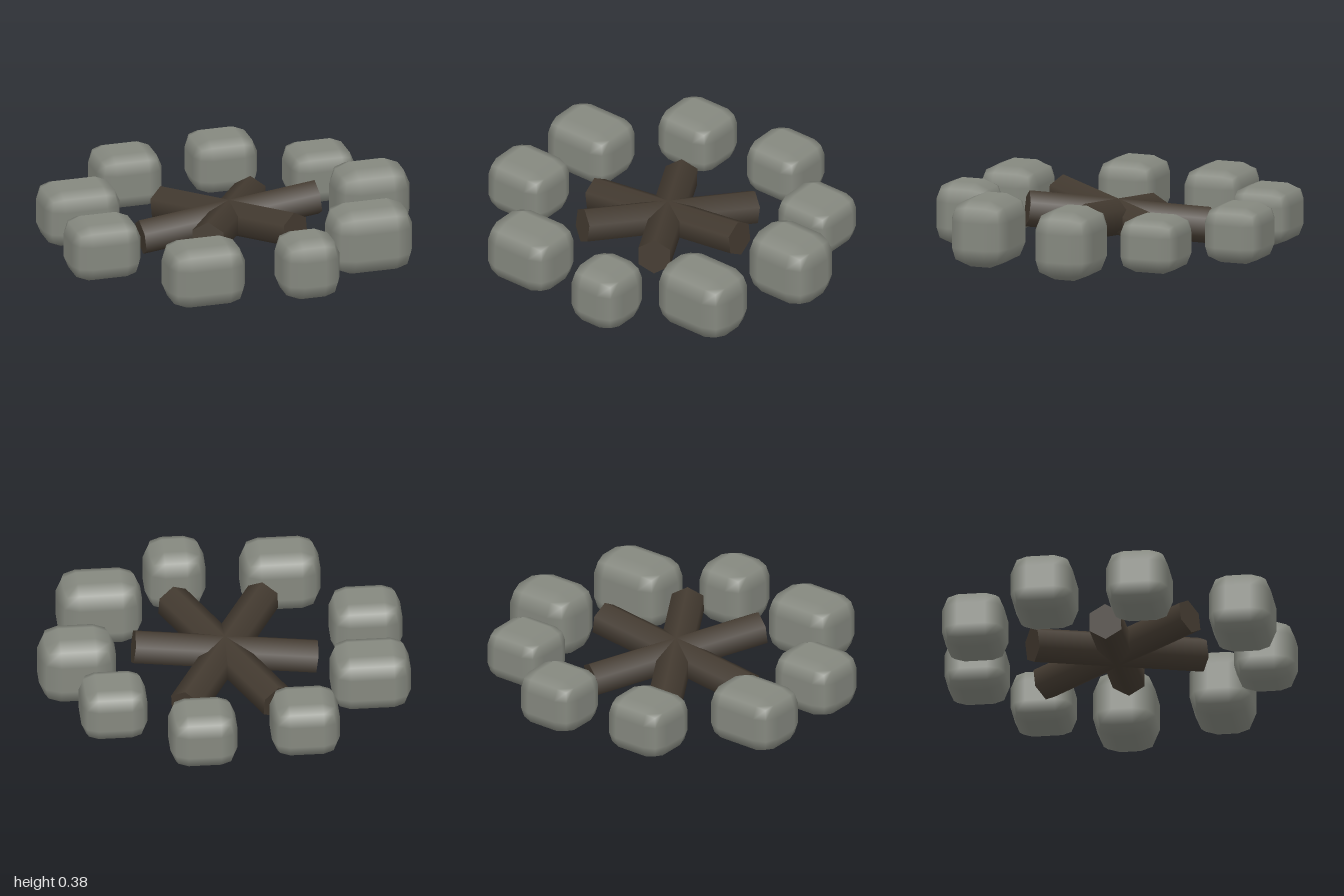
import * as THREE from 'three';
import { RoundedBoxGeometry } from 'three/addons/geometries/RoundedBoxGeometry.js';

const stoneGrey = new THREE.MeshStandardMaterial({ color: 0x85887f });
stoneGrey.name = 'stoneGrey';
const charredWood = new THREE.MeshStandardMaterial({ color: 0x433a30 });
charredWood.name = 'charredWood';

// centre x, z, then width, height, depth of each stone in the ring
const stones = [
  [0.79, -0.055, 0.42, 0.38, 0.34],
  [0.62, 0.495, 0.46, 0.37, 0.335],
  [0.185, 0.785, 0.33, 0.35, 0.335],
  [-0.385, 0.73, 0.43, 0.345, 0.34],
  [-0.805, 0.22, 0.39, 0.32, 0.34],
  [-0.785, -0.3, 0.43, 0.32, 0.34],
  [-0.39, -0.73, 0.37, 0.31, 0.34],
  [0.17, -0.79, 0.365, 0.31, 0.335],
  [0.63, -0.485, 0.36, 0.295, 0.34],
];

export function createModel() {
  const model = new THREE.Group();
  model.name = 'firePit';

  // Ring of coarse rounded stones
  const ring = new THREE.Group();
  ring.name = 'stoneRing';
  stones.forEach(([x, z, w, h, d], i) => {
    const stone = new THREE.Mesh(new RoundedBoxGeometry(w, h, d, 1, h * 0.3), stoneGrey);
    stone.name = `stone${i + 1}`;
    stone.position.set(x, 0.19, z);
    ring.add(stone);
  });
  model.add(ring);

  // Three six-sided logs crossing at the hub, each tilted up towards the front or left
  const logs = new THREE.Group();
  logs.name = 'crossedLogs';
  logs.position.set(-0.02, 0.182, -0.003);
  const logGeometry = new THREE.CylinderGeometry(0.1, 0.1, 1, 6);
  logGeometry.rotateY(Math.PI / 6).rotateZ(Math.PI / 2).rotateZ(0.12);
  for (let i = 0; i < 3; i++) {
    const log = new THREE.Mesh(logGeometry, charredWood);
    log.name = `log${i + 1}`;
    log.rotation.y = -i * Math.PI / 3;
    logs.add(log);
  }
  model.add(logs);

  return model;
}
